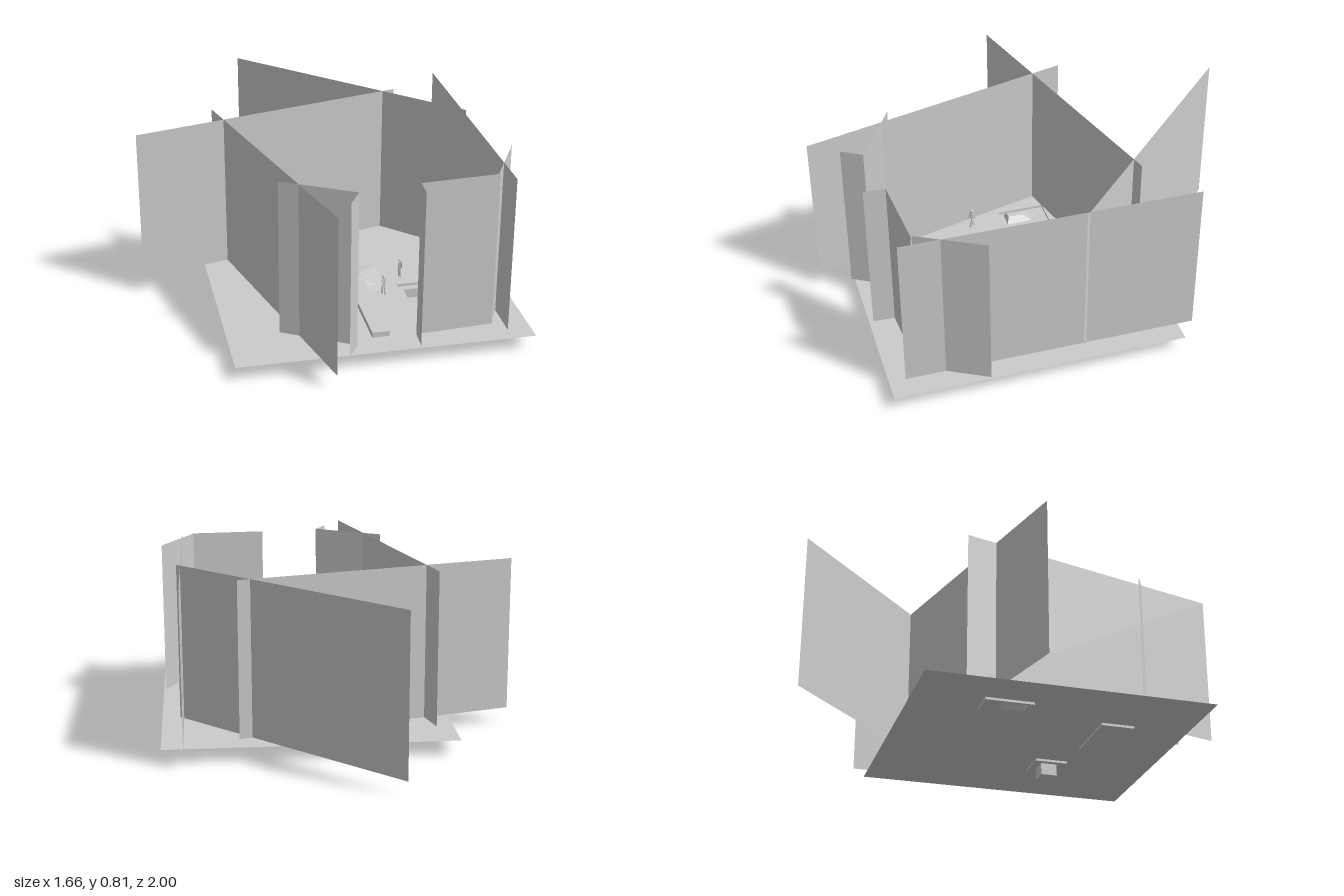
import * as THREE from 'three';

const mat = new THREE.MeshStandardMaterial({ color: 0xcccccc, side: THREE.DoubleSide, flatShading: true });
const GROUND = 0.07, TOP = 0.81, PIT = 0.058;

function add(parent, geometry, name) {
  const mesh = new THREE.Mesh(geometry, mat);
  mesh.name = name;
  parent.add(mesh);
  return mesh;
}

// Corners of a rectangle [x0, x1, z0, z1]
const corners = ([x0, x1, z0, z1]) => [[x0, z0], [x0, z1], [x1, z1], [x1, z0]];
const inset = ([x0, x1, z0, z1], d) => [x0 + d, x1 - d, z0 + d, z1 - d];

// Flat horizontal sheet with rectangular openings
function sheet(rect, y, holes = []) {
  const outline = (r) => corners(r).map(([x, z]) => new THREE.Vector2(x, z));
  const shape = new THREE.Shape(outline(rect));
  for (const h of holes) shape.holes.push(new THREE.Path(outline(h)));
  return new THREE.ShapeGeometry(shape).rotateX(Math.PI / 2).translate(0, y, 0);
}

// Four side faces joining two rectangles at different heights
function sides(low, y0, high, y1) {
  const a = corners(low), b = corners(high), pos = [];
  for (let i = 0; i < 4; i++) {
    const j = (i + 1) % 4;
    const p = [a[i][0], y0, a[i][1]], q = [a[j][0], y0, a[j][1]];
    const r = [b[j][0], y1, b[j][1]], s = [b[i][0], y1, b[i][1]];
    pos.push(...p, ...q, ...r, ...p, ...r, ...s);
  }
  const g = new THREE.BufferGeometry();
  g.setAttribute('position', new THREE.Float32BufferAttribute(pos, 3));
  g.computeVertexNormals();
  return g;
}

// Thin upright panel between two plan points
function wall(parent, [x0, z0], [x1, z1], name) {
  const g = new THREE.PlaneGeometry(Math.hypot(x1 - x0, z1 - z0), TOP - GROUND);
  const mesh = add(parent, g, name);
  mesh.position.set((x0 + x1) / 2, (TOP + GROUND) / 2, (z0 + z1) / 2);
  mesh.rotation.y = -Math.atan2(z1 - z0, x1 - x0);
}

function box(parent, [w, h, d], [x, y, z], name, tilt = 0) {
  const mesh = add(parent, new THREE.BoxGeometry(w, h, d), name);
  mesh.position.set(x, y, z);
  mesh.rotation.x = tilt;
}

// Small standing person, seen in stride along z
function person(x, z, turn) {
  const g = new THREE.Group();
  g.name = 'person';
  for (const s of [-1, 1]) {
    box(g, [0.006, 0.048, 0.007], [s * 0.004, 0.024, s * 0.006], 'leg', -s * 0.22);
    box(g, [0.004, 0.036, 0.005], [s * 0.009, 0.063, -s * 0.008], 'arm', s * 0.4);
  }
  box(g, [0.014, 0.036, 0.01], [0, 0.064, 0], 'torso');
  const head = add(g, new THREE.IcosahedronGeometry(0.008, 1), 'head');
  head.position.y = 0.092;
  g.position.set(x, GROUND, z);
  g.rotation.y = turn;
  return g;
}

export function createModel() {
  const model = new THREE.Group();

  // Ground with three shallow basins
  const shaftPit = [0.34, 0.51, 0.26, 0.42];
  const hutPit = [-0.32, -0.18, -0.18, 0.05];
  const pond = [-0.18, 0.15, 0.42, 0.58];
  const shaft = [0.365, 0.45, 0.295, 0.375];
  const hut = [-0.31, -0.23, -0.1, 0.025];
  add(model, sheet([-0.525, 0.83, -0.505, 0.85], GROUND, [shaftPit, hutPit, pond]), 'ground');
  const basins = [[shaftPit, [shaft], 'shaftBasin'], [hutPit, [hut], 'hutBasin'], [pond, [], 'pond']];
  for (const [rect, holes, name] of basins) {
    const basin = new THREE.Group();
    basin.name = name;
    add(basin, sides(rect, PIT, rect, GROUND), 'basinRim');
    add(basin, sheet(rect, PIT, holes), 'basinFloor');
    model.add(basin);
  }

  // Deep shaft
  add(model, sides(shaft, 0, shaft, PIT), 'shaftSides');
  add(model, sheet(shaft, 0), 'shaftFloor');

  // Low tapered hut, open underneath
  const hutTop = [-0.285, -0.255, -0.055, 0.015];
  add(model, sides(hut, PIT, hutTop, 0.085), 'hutSides');
  add(model, sheet(hutTop, 0.085), 'hutRoof');

  // Stepped mound with sloping tiers
  let rect = [0.025, 0.285, 0.045, 0.3], y = GROUND;
  for (const [slope, ledge, rise] of [[0.035, 0.008, 0.008], [0.012, 0.008, 0.006], [0.012, 0.008, 0.005], [0.01, 0, 0.004]]) {
    const upper = inset(rect, slope), next = inset(upper, ledge);
    add(model, sides(rect, y, upper, y + rise), 'moundTier');
    y += rise;
    add(model, sheet(upper, y), 'moundLedge');
    rect = next;
  }

  // Raised walkway from the mound across the pond's edge
  box(model, [0.08, 0.025, 0.5], [0.15, 0.0825, 0.47], 'walkway');

  // Long walls
  const walls = new THREE.Group();
  walls.name = 'walls';
  wall(walls, [-0.83, -0.045], [0.475, -0.39], 'backWall');
  wall(walls, [-0.21, -1], [0.745, -0.045], 'diagonalWall');
  wall(walls, [0.73, -0.577], [0.722, 0.775], 'leftWall');
  wall(walls, [-0.445, -0.3], [-0.11, 1], 'rightWall');

  // Front panels and the short returns at the entrance
  wall(walls, [0.82, 0.41], [0.665, 0.7], 'leftCornerPanel');
  wall(walls, [0.31, 0.73], [0.67, 0.705], 'frontLeftPanel');
  wall(walls, [0.31, 0.73], [0.305, 0.83], 'entranceReturn');
  wall(walls, [-0.285, 0.59], [0.03, 0.77], 'frontRightPanel');
  wall(walls, [0.03, 0.77], [-0.025, 0.865], 'entranceReturn');
  model.add(walls);

  // People
  for (const [x, z, turn] of [[-0.255, 0.205, 0.2], [0.373, 0.19, -0.3], [0.257, 0.338, 0.1]]) {
    model.add(person(x, z, turn));
  }
  return model;
}
